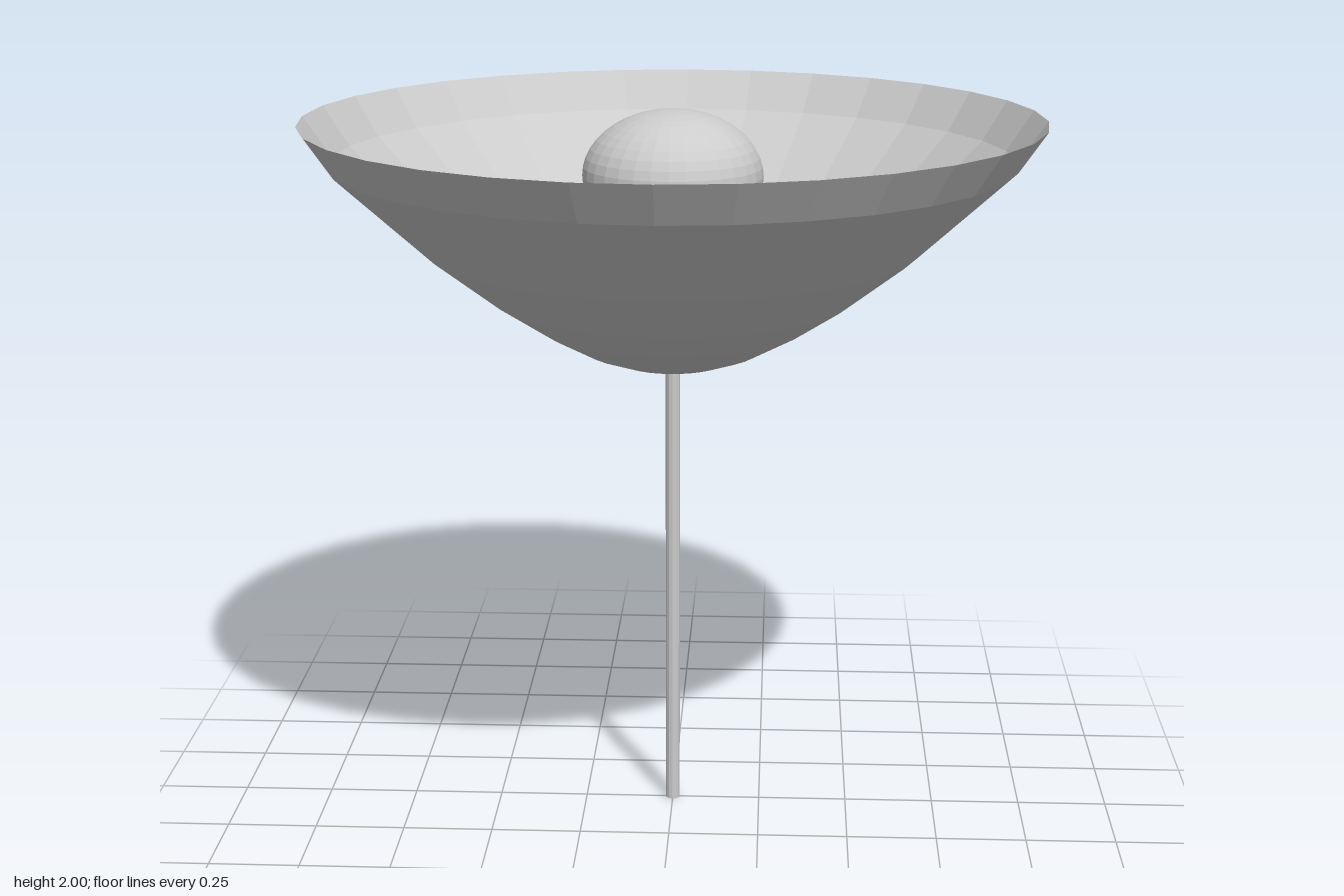
import * as THREE from 'three';

export function createModel() {
  const group = new THREE.Group();
  const solid = new THREE.MeshStandardMaterial({ color: 0xcccccc, flatShading: true });
  const thin = new THREE.MeshStandardMaterial({ color: 0xcccccc, flatShading: true, side: THREE.DoubleSide });

  const lathe = (name, profile, material) => {
    const points = profile.map(([r, y]) => new THREE.Vector2(r, y));
    const mesh = new THREE.Mesh(new THREE.LatheGeometry(points, 32), material);
    mesh.name = name;
    group.add(mesh);
  };

  // Thin pole
  const pole = new THREE.Mesh(new THREE.CylinderGeometry(0.02, 0.02, 1.3, 12), solid);
  pole.name = 'pole';
  pole.position.y = 0.65;
  group.add(pole);

  // Open bowl shade
  lathe('shade', [
    [0, 1.295], [0.08, 1.297], [0.15, 1.308], [0.24, 1.34], [0.36, 1.405],
    [0.49, 1.49], [0.665, 1.625], [0.925, 1.865], [1, 1.975],
  ], thin);

  // Stepped socket inside the bowl
  lathe('socket', [
    [0, 1.31], [0.155, 1.31], [0.155, 1.5], [0.185, 1.5], [0.185, 1.55],
    [0.155, 1.56], [0.155, 1.6], [0, 1.6],
  ], solid);

  // Bulb: tapered neck below a flattened dome
  const bulb = [[0, 1.59], [0.14, 1.59]];
  const steps = 14, start = -0.42;
  for (let i = 0; i <= steps; i++) {
    const a = start + (Math.PI / 2 - start) * i / steps;
    bulb.push([Math.max(0, 0.245 * Math.cos(a)), 1.82 + 0.18 * Math.sin(a)]);
  }
  lathe('bulb', bulb, solid);

  return group;
}
